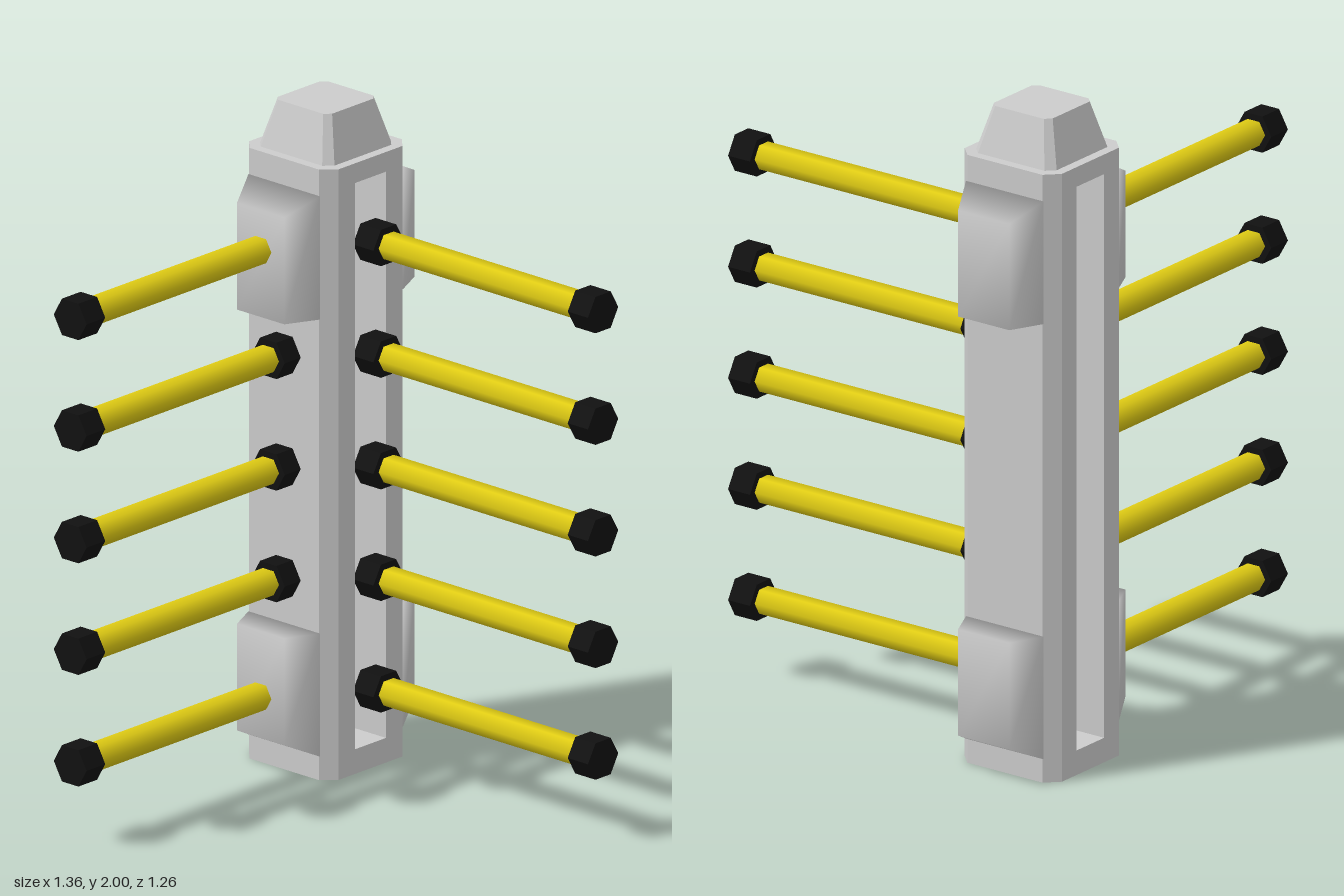
import * as THREE from 'three';
import { mergeVertices } from 'three/addons/utils/BufferGeometryUtils.js';

const grey = new THREE.MeshStandardMaterial({ color: 0xcccccc });
const yellow = new THREE.MeshStandardMaterial({ color: 0xe0cc14 });
const black = new THREE.MeshStandardMaterial({ color: 0x111111 });

function addMesh(parent, name, geometry, material = grey) {
  const mesh = new THREE.Mesh(geometry, material);
  mesh.name = name;
  parent.add(mesh);
  return mesh;
}

// Chamfered square outline of half width h
function octagon(h, c) {
  const k = h - c;
  return [[k, -h], [h, -k], [h, k], [k, h], [-k, h], [-h, k], [-h, -k], [-k, -h]]
    .map(([x, y]) => new THREE.Vector2(x, y));
}

// Upright prism between two heights
function prism(shape, y0, y1) {
  return new THREE.ExtrudeGeometry(shape, { depth: y1 - y0, bevelEnabled: false })
    .rotateX(-Math.PI / 2).translate(0, y0, 0);
}

// Six-sided bar along z, corners pointing sideways
function hexBar(radius, z0, z1) {
  return new THREE.CylinderGeometry(radius, radius, z1 - z0, 6, 1, false, Math.PI / 2)
    .rotateX(Math.PI / 2).translate(0, 0, (z0 + z1) / 2);
}

function flatHexBar(radius, z0, z1) {
  const g = hexBar(radius, z0, z1).toNonIndexed();
  g.computeVertexNormals();
  return g;
}

// Side pad on the +x face: outer face narrower in depth, far end sloped
function padGeometry() {
  let g = new THREE.BoxGeometry(0.1, 0.375, 0.28);
  const p = g.attributes.position;
  for (let i = 0; i < p.count; i++) {
    if (p.getX(i) < 0) continue;
    p.setZ(i, p.getZ(i) * 0.66);
    if (p.getY(i) > 0) p.setY(i, p.getY(i) - 0.05);
  }
  g.deleteAttribute('normal');
  g.deleteAttribute('uv');
  g = mergeVertices(g);
  g.computeVertexNormals();
  return g;
}

// Tapered cap on top of the post
function capGeometry() {
  const g = prism(new THREE.Shape(octagon(0.145, 0.025)), 0, 0.14);
  const p = g.attributes.position;
  for (let i = 0; i < p.count; i++) {
    const s = 1 - 0.27 * p.getY(i) / 0.14;
    p.setX(i, p.getX(i) * s);
    p.setZ(i, p.getZ(i) * s);
  }
  g.computeVertexNormals();
  return g;
}

export function createModel() {
  const model = new THREE.Group();
  model.name = 'postWithRods';

  // Post with a slot running through from front to back
  const post = new THREE.Group();
  post.name = 'post';
  post.position.set(0.4, 0, -0.455);
  model.add(post);

  const base = new THREE.Shape(octagon(0.175, 0.04));
  base.holes.push(new THREE.Path(octagon(0.145, 0.03).reverse()));
  addMesh(post, 'baseRim', prism(base, 0, 0.05));
  addMesh(post, 'basePlate', prism(new THREE.Shape(octagon(0.175, 0.04)), 0.05, 0.075));
  addMesh(post, 'topPlate', prism(new THREE.Shape(octagon(0.175, 0.04)), 1.8, 1.86));
  addMesh(post, 'topCap', capGeometry()).position.y = 1.86;

  const half = new THREE.Shape([
    [0.065, -0.175], [0.135, -0.175], [0.175, -0.135],
    [0.175, 0.135], [0.135, 0.175], [0.065, 0.175],
  ].map(([x, y]) => new THREE.Vector2(x, y)));

  for (const side of [0, 1]) {
    const group = new THREE.Group();
    group.name = side ? 'rightSide' : 'leftSide';
    group.rotation.y = side * Math.PI;
    post.add(group);
    addMesh(group, 'slotWall', prism(half, 0.075, 1.8));
    const upper = addMesh(group, 'upperPad', padGeometry());
    upper.position.set(0.225, 1.592, 0);
    const lower = addMesh(group, 'lowerPad', padGeometry());
    lower.position.set(0.225, 0.26, 0);
    lower.rotation.x = Math.PI;
  }

  // Five short rungs inside the slot
  for (let i = 0; i < 5; i++) {
    const rung = addMesh(post, 'slotRung', hexBar(0.042, -0.07, 0.07), yellow);
    rung.position.y = 0.285 + i * 0.315;
    rung.rotation.y = Math.PI / 2;
  }

  // Rods with dark end caps, one row to the front and one to the right
  for (let i = 0; i < 5; i++) {
    const y = 0.25 + i * 0.34;
    for (const forward of [true, false]) {
      const rod = new THREE.Group();
      rod.name = forward ? 'frontRod' : 'sideRod';
      addMesh(rod, 'rodBar', hexBar(0.042, 0.02, 0.88), yellow);
      addMesh(rod, 'innerCap', flatHexBar(0.064, -0.01, 0.07), black);
      addMesh(rod, 'outerCap', flatHexBar(0.064, 0.828, 0.907), black);
      if (forward) {
        rod.position.set(0.4, y, -0.28);
      } else {
        rod.position.set(0.227, y, -0.455);
        rod.rotation.y = -Math.PI / 2;
      }
      model.add(rod);
    }
  }
  return model;
}
